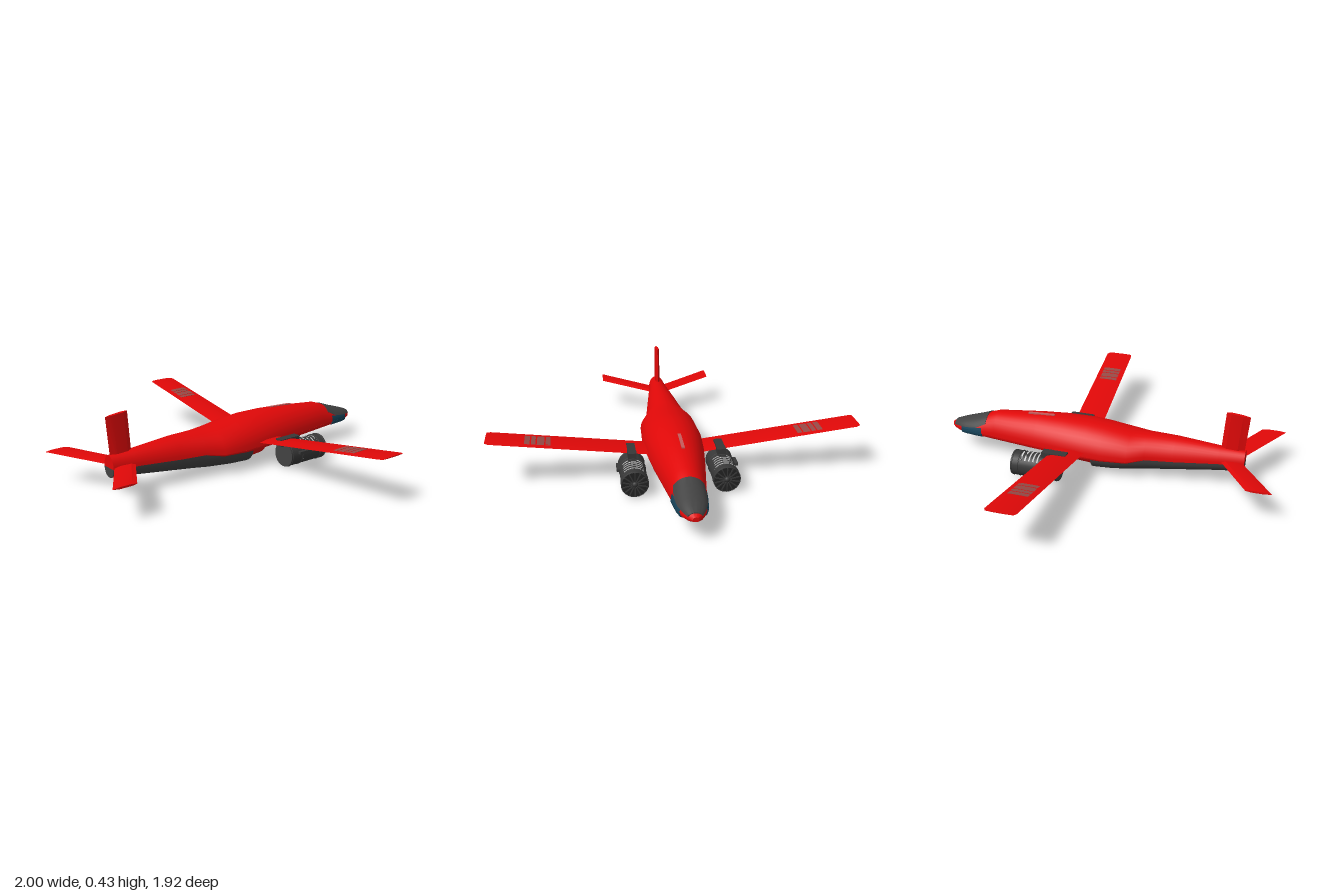
import * as THREE from 'three';
import { toCreasedNormals } from 'three/addons/utils/BufferGeometryUtils.js';

const mat = (name, color) => {
  const m = new THREE.MeshStandardMaterial({ color });
  m.name = name;
  return m;
};

// closed solid through rings of [x, y, z]; faces are turned outwards by signed volume
function loft(rings, crease = 0.6) {
  const n = rings[0].length, tris = [];
  for (let i = 0; i < rings.length - 1; i++) {
    for (let j = 0; j < n; j++) {
      const k = (j + 1) % n, a = rings[i], b = rings[i + 1];
      tris.push([a[j], b[j], b[k]], [a[j], b[k], a[k]]);
    }
  }
  const cap = (ring, flip) => {
    const c = [0, 1, 2].map(d => ring.reduce((s, p) => s + p[d], 0) / n);
    ring.forEach((p, j) => {
      const q = ring[(j + 1) % n];
      tris.push(flip ? [c, q, p] : [c, p, q]);
    });
  };
  cap(rings[0], false);
  cap(rings[rings.length - 1], true);
  const o = new THREE.Vector3(...rings[0][0]);
  let vol = 0;
  for (const t of tris) {
    const [a, b, c] = t.map(p => new THREE.Vector3(...p).sub(o));
    vol += a.dot(b.cross(c));
  }
  const pos = tris.flatMap(t => (vol < 0 ? [t[0], t[2], t[1]] : t).flat());
  const g = new THREE.BufferGeometry();
  g.setAttribute('position', new THREE.Float32BufferAttribute(pos, 3));
  g.computeVertexNormals();
  return toCreasedNormals(g, crease);
}

// hull slice: stations are [z, halfWidth, yMid, height, angle trimmed off both ends];
// height is negative below the middle
function hull(stations, { a0 = 0, a1 = Math.PI, power = 2, grow = 0 } = {}) {
  const steps = 18;
  const f = v => Math.sign(v) * Math.pow(Math.abs(v), 2 / power);
  return loft(stations.map(([z, w, y, h, trim = 0]) => {
    const ring = [];
    for (let i = 0; i <= steps; i++) {
      const a = a0 + trim + (a1 - a0 - 2 * trim) * i / steps;
      ring.push([f(Math.cos(a)) * (w + grow), y + f(Math.sin(a)) * (h + Math.sign(h) * grow), z]);
    }
    return ring;
  }));
}

// thin aerofoil section: x, y, leading z, trailing z, thickness
const foil = (x, y, zf, zb, t) => {
  const d = zb - zf;
  return [[x, y, zf], [x, y + t / 2, zf + d * 0.2], [x, y + t / 2, zf + d * 0.7],
    [x, y, zb], [x, y - t / 2, zf + d * 0.7], [x, y - t / 2, zf + d * 0.2]];
};

export function createModel() {
  const model = new THREE.Group();
  model.name = 'aircraft';
  const red = mat('red paint', 0xe00808);
  const grey = mat('dark grey', 0x424242);
  const engineGrey = mat('engine grey', 0x383838);
  const black = mat('fan black', 0x232323);
  const blue = mat('dark blue glass', 0x17445a);
  const faded = mat('faded marking', 0x964a46);
  const pale = mat('pale red marking', 0xc45c5c);
  const add = (name, geo, m, parent = model) => {
    const mesh = new THREE.Mesh(geo, m);
    mesh.name = name;
    parent.add(mesh);
    return mesh;
  };

  // fuselage
  const nose = [
    [-0.957, 0.015, 0.13, 0.014], [-0.938, 0.035, 0.13, 0.026], [-0.9, 0.056, 0.13, 0.04],
    [-0.85, 0.074, 0.13, 0.056], [-0.78, 0.084, 0.13, 0.078], [-0.72, 0.09, 0.13, 0.1]];
  add('upperFuselage', hull([...nose,
    [-0.66, 0.097, 0.13, 0.12], [-0.4, 0.135, 0.13, 0.143], [-0.25, 0.153, 0.13, 0.15],
    [-0.1, 0.165, 0.125, 0.154], [0, 0.163, 0.12, 0.151], [0.15, 0.157, 0.125, 0.122],
    [0.24, 0.117, 0.135, 0.11], [0.4, 0.096, 0.138, 0.106], [0.64, 0.062, 0.148, 0.078],
    [0.78, 0.046, 0.152, 0.068]]), red);
  add('forwardBelly', hull([
    [-0.957, 0.015, 0.131, -0.01], [-0.938, 0.035, 0.131, -0.016], [-0.9, 0.056, 0.131, -0.021],
    [-0.85, 0.074, 0.131, -0.025], [-0.72, 0.09, 0.131, -0.028], [-0.4, 0.135, 0.131, -0.03],
    [-0.1, 0.165, 0.126, -0.026], [0, 0.163, 0.121, -0.02], [0.15, 0.157, 0.126, -0.016],
    [0.24, 0.117, 0.136, -0.01]], { power: 4 }), red);
  add('bellyCollar', hull([[-0.15, 0.145, 0.13, -0.09], [-0.04, 0.15, 0.13, -0.1]]), red);
  add('rearBelly', hull([
    [-0.055, 0.153, 0.128, -0.113], [0.06, 0.152, 0.128, -0.106], [0.2, 0.124, 0.137, -0.105],
    [0.26, 0.11, 0.14, -0.1], [0.4, 0.093, 0.143, -0.085], [0.64, 0.06, 0.152, -0.065],
    [0.78, 0.045, 0.154, -0.054]], { power: 2.2 }), grey);

  // cockpit canopy with a raked rear edge
  const trims = [0.35, 0.35, 0.35, 0.38, 0.62];
  add('canopy', hull(nose.slice(1).map((s, i) => [...s, trims[i]]), { grow: 0.004 }), grey);

  // glazed chin below it, with matching panes up the sides
  const chin = [[-0.88, 0.064, 0.13], [-0.85, 0.074, 0.13], [-0.78, 0.084, 0.13], [-0.74, 0.088, 0.13]];
  add('chinGlass', hull(chin.map(s => [...s, -0.024]), { power: 4, grow: 0.004 }), blue);
  const pane = [[-0.88, 0.064, 0.13, 0.046], nose[3], nose[4], [-0.745, 0.087, 0.13, 0.091]];
  add('leftSideGlass', hull(pane, { a1: 0.38, grow: 0.003 }), blue);
  add('rightSideGlass', hull(pane, { a0: Math.PI - 0.38, grow: 0.003 }), blue);

  // pale strip along the spine
  const spine = add('spineMark', new THREE.BoxGeometry(0.017, 0.007, 0.16), pale);
  spine.position.set(-0.008, 0.274, -0.39);
  spine.rotation.x = -0.047;

  // wings, tailplanes and engines on both sides
  for (const s of [1, -1]) {
    const side = s > 0 ? 'left' : 'right';
    const at = (x, f0, f1, lift, t) => {
      const k = (x - 0.1) / 0.9;
      const zf = -0.255 - 0.045 * k, zb = -0.085 - 0.05 * k;
      return foil(s * x, 0.138 + 0.13 * k + lift, zf + (zb - zf) * f0, zf + (zb - zf) * f1, t);
    };
    add(side + 'Wing', loft([at(0.1, 0, 1, 0, 0.016), at(0.98, 0, 1, 0, 0.009),
      at(1, 0.08, 0.95, 0, 0.004)], 0.3), red);

    // faded bars on the upper wing skin
    [[0.665, 0.69], [0.697, 0.735], [0.742, 0.765], [0.772, 0.8]].forEach(([a, b]) =>
      add(side + 'WingBar', loft([at(a, 0.16, 0.82, 0.005, 0.004), at(b, 0.16, 0.82, 0.005, 0.004)]), faded));

    add(side + 'Tailplane', loft([foil(s * 0.02, 0.158, 0.635, 0.76, 0.016),
      foil(s * 0.343, 0.184, 0.828, 0.962, 0.01)], 0.3), red);

    const engine = new THREE.Group();
    engine.name = side + 'Engine';
    engine.position.set(s * 0.24, 0.075, 0);
    model.add(engine);
    const R = 0.07, open = 0.85;
    const shell = (name, z0, z1, start, length) =>
      add(name, new THREE.CylinderGeometry(R, R, z1 - z0, 24, 1, true, start, length)
        .rotateX(Math.PI / 2).translate(0, 0, (z0 + z1) / 2), engineGrey, engine);

    // casing, with open slots along the top
    shell('frontCasing', -0.47, -0.415, 0, Math.PI * 2);
    shell('rearCasing', -0.297, -0.2, 0, Math.PI * 2);
    shell('lowerCasing', -0.415, -0.297, Math.PI + open, Math.PI * 2 - 2 * open);
    for (let i = 0; i < 5; i++) {
      const z = -0.406 + i * 0.0235;
      shell('coolingSlat', z, z + 0.015, Math.PI - open, 2 * open);
    }
    for (const z of [-0.462, -0.425, -0.285, -0.21])
      add('casingBand', new THREE.TorusGeometry(R, 0.003, 6, 24).translate(0, 0, z), engineGrey, engine);

    // fan face, blades and exhaust plate
    add('fanFace', new THREE.CircleGeometry(R, 24).rotateY(Math.PI).translate(0, 0, -0.464), black, engine);
    add('exhaustPlate', new THREE.CircleGeometry(R, 24).translate(0, 0, -0.2), grey, engine);
    for (let i = 0; i < 14; i++)
      add('fanBlade', new THREE.BoxGeometry(0.006, 0.05, 0.005).translate(0, 0.041, -0.467)
        .rotateZ(i * Math.PI / 7), engineGrey, engine);
    add('fanHub', new THREE.SphereGeometry(0.016, 12, 8).translate(0, 0, -0.46), engineGrey, engine);

    // mounting pylon and side actuator
    add('pylon', new THREE.BoxGeometry(0.045, 0.04, 0.14).translate(0, 0.078, -0.23), engineGrey, engine);
    add('pylonCap', new THREE.BoxGeometry(0.048, 0.016, 0.04).translate(0, 0.09, -0.272), engineGrey, engine);
    add('actuator', new THREE.BoxGeometry(0.02, 0.014, 0.08).translate(s * 0.075, 0.018, -0.29), engineGrey, engine);
  }

  // upright fin: the aerofoil turned on its side, its tip sloping down to the rear
  const up = (y, zf, zb, t) => foil(y, 0, zf, zb, t).map(([a, b, z]) => [b, a - (z - zf) * 0.1, z]);
  add('tailFin', loft([up(0.19, 0.645, 0.77, 0.026), up(0.435, 0.662, 0.79, 0.02)], 0.3), red);
  return model;
}
